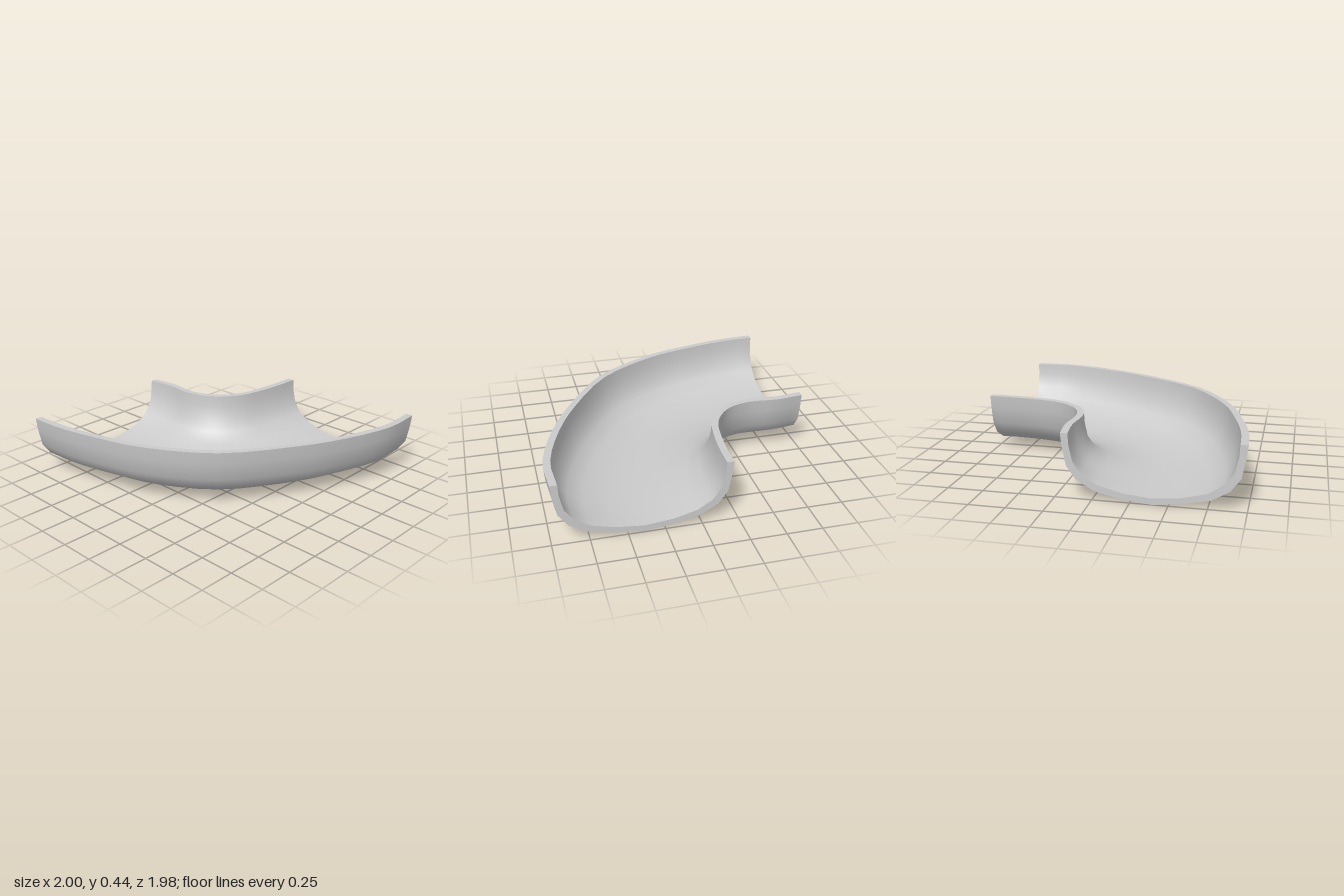
import * as THREE from 'three';

const STEPS = 24;

// Plan curves of the two top edges, with matching points facing each other [x, z]
const planCurve = (pts) => new THREE.CatmullRomCurve3(
  pts.map(([x, z]) => new THREE.Vector3(x, 0, z)), false, 'catmullrom', 0.5);

const bendInside = planCurve([
  [-1, -0.205], [-0.8, -0.23], [-0.6, -0.215], [-0.45, -0.25], [-0.35, -0.325],
  [-0.27, -0.45], [-0.235, -0.6], [-0.215, -0.8], [-0.21, -0.99]]);
const bendOutside = planCurve([
  [-1, 0.99], [-0.72, 0.97], [-0.38, 0.895], [-0.02, 0.775], [0.4, 0.5],
  [0.7, 0.07], [0.88, -0.3], [0.99, -0.68], [0.985, -0.99]]);

// Half profiles [fraction across, height], mirrored to a full trough
const mirror = (half) => [...half, ...half.slice(0, -1).reverse().map(([s, y]) => [1 - s, y])];
const outerProfile = mirror([
  [0, 0.44], [0.008, 0.35], [0.03, 0.22], [0.085, 0.13], [0.185, 0.06], [0.34, 0.02], [0.5, 0]]);
const innerProfile = mirror([
  [0.042, 0.44], [0.046, 0.36], [0.066, 0.25], [0.115, 0.17], [0.2, 0.105], [0.34, 0.062], [0.5, 0.043]]);

// Places a profile across the trough at parameter t
function section(profile, t) {
  const a = bendInside.getPoint(t), b = bendOutside.getPoint(t);
  return profile.map(([s, y]) => new THREE.Vector3().lerpVectors(a, b, s).setY(y));
}

// Smooth surface through rows of points
function loft(name, rows, material) {
  const n = rows[0].length, index = [];
  for (let i = 0; i < rows.length - 1; i++) {
    for (let j = 0; j < n - 1; j++) {
      const a = i * n + j, b = a + n;
      index.push(a, b, a + 1, b, b + 1, a + 1);
    }
  }
  const geometry = new THREE.BufferGeometry().setFromPoints(rows.flat());
  geometry.setIndex(index);
  geometry.computeVertexNormals();
  const mesh = new THREE.Mesh(geometry, material);
  mesh.name = name;
  return mesh;
}

export function createModel() {
  const group = new THREE.Group();
  group.name = 'curvedTrough';
  const material = new THREE.MeshStandardMaterial({ color: 0xcccccc, side: THREE.DoubleSide });
  const sweep = (name, profile) => group.add(loft(name,
    Array.from({ length: STEPS + 1 }, (_, i) => section(profile, i / STEPS)), material));

  // Trough skins
  const last = outerProfile.length - 1;
  sweep('outerSkin', outerProfile);
  sweep('innerSkin', [...innerProfile].reverse());

  // Flat top rims
  sweep('outsideRim', [outerProfile[last], innerProfile[last]]);
  sweep('insideRim', [innerProfile[0], outerProfile[0]]);

  // Wall thickness at the two open ends
  group.add(loft('sideEnd', [section(innerProfile, 0), section(outerProfile, 0)], material));
  group.add(loft('backEnd', [section(outerProfile, 1), section(innerProfile, 1)], material));
  return group;
}
